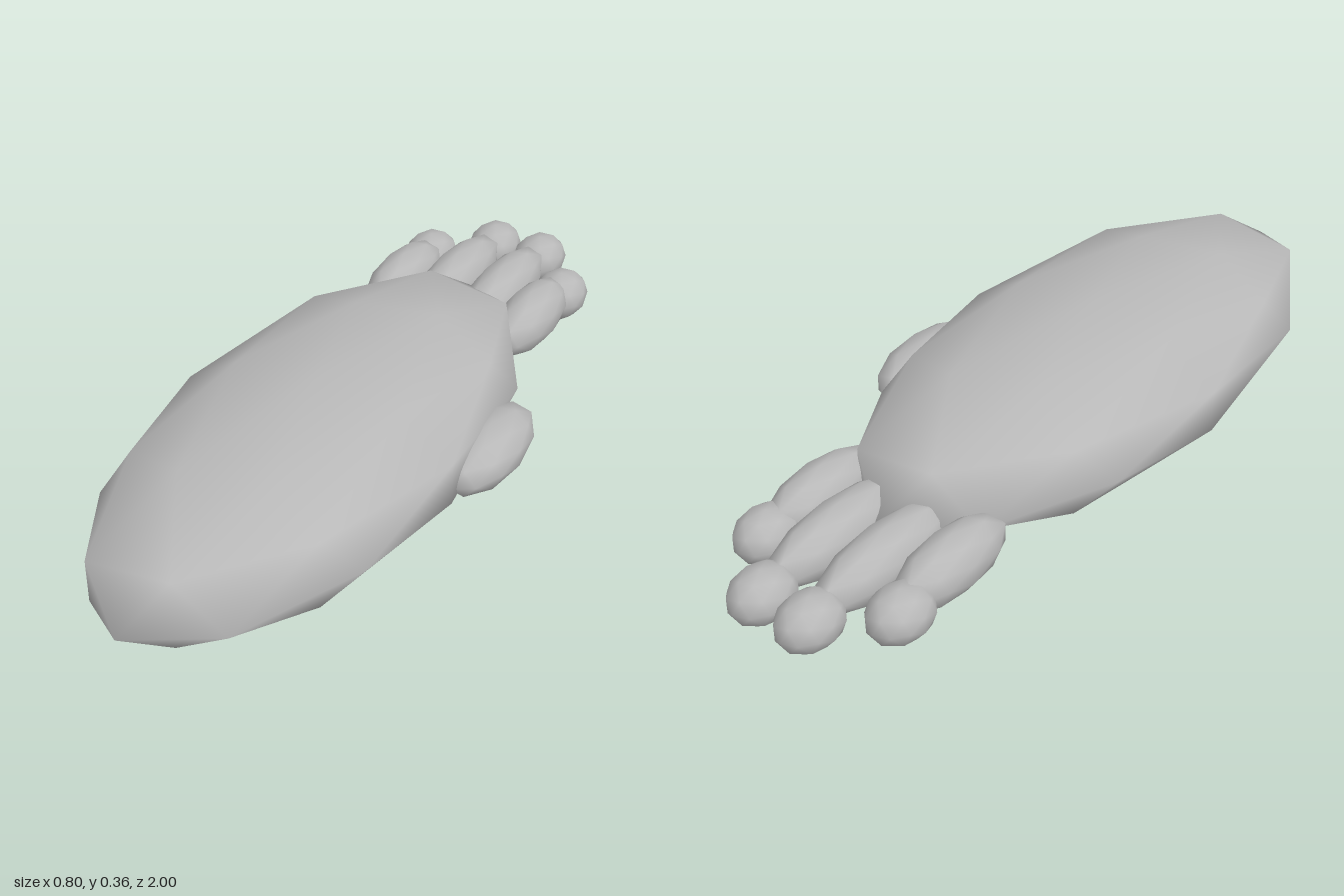
import * as THREE from 'three';

export function createModel() {
  const group = new THREE.Group();
  const clay = new THREE.MeshStandardMaterial({ color: 0xb8b8b8 });
  clay.name = 'clay grey';

  // Once-subdivided icosahedron, poles on the z axis, smooth shaded
  const ball = new THREE.IcosahedronGeometry(1, 1);
  ball.rotateX(Math.atan(2 / (1 + Math.sqrt(5))));
  ball.rotateZ(Math.PI / 2);

  // Ellipsoid from its centre and radii
  function blob(name, centre, radii) {
    const mesh = new THREE.Mesh(ball, clay);
    mesh.name = name;
    mesh.position.set(...centre);
    mesh.scale.set(...radii);
    group.add(mesh);
  }

  blob('palm', [-0.037, 0.181, 0.19], [0.382, 0.181, 0.81]);
  blob('thumb', [0.317, 0.147, -0.02], [0.087, 0.072, 0.186]);

  // Four fingers: x, z and half length, then the tip's x and z
  const fingers = [
    ['outerFingerRight', -0.235, -0.6, 0.18, -0.243, -0.775],
    ['innerFingerRight', -0.108, -0.67, 0.226, -0.108, -0.91],
    ['innerFingerLeft', 0.03, -0.67, 0.226, 0.032, -0.91],
    ['outerFingerLeft', 0.155, -0.59, 0.18, 0.166, -0.76],
  ];
  for (const [name, x, z, length, tipX, tipZ] of fingers) {
    blob(name, [x, 0.158, z], [0.073, 0.076, length]);
    blob(name + 'Tip', [tipX, 0.141, tipZ], [0.072, 0.066, 0.09]);
  }
  return group;
}
